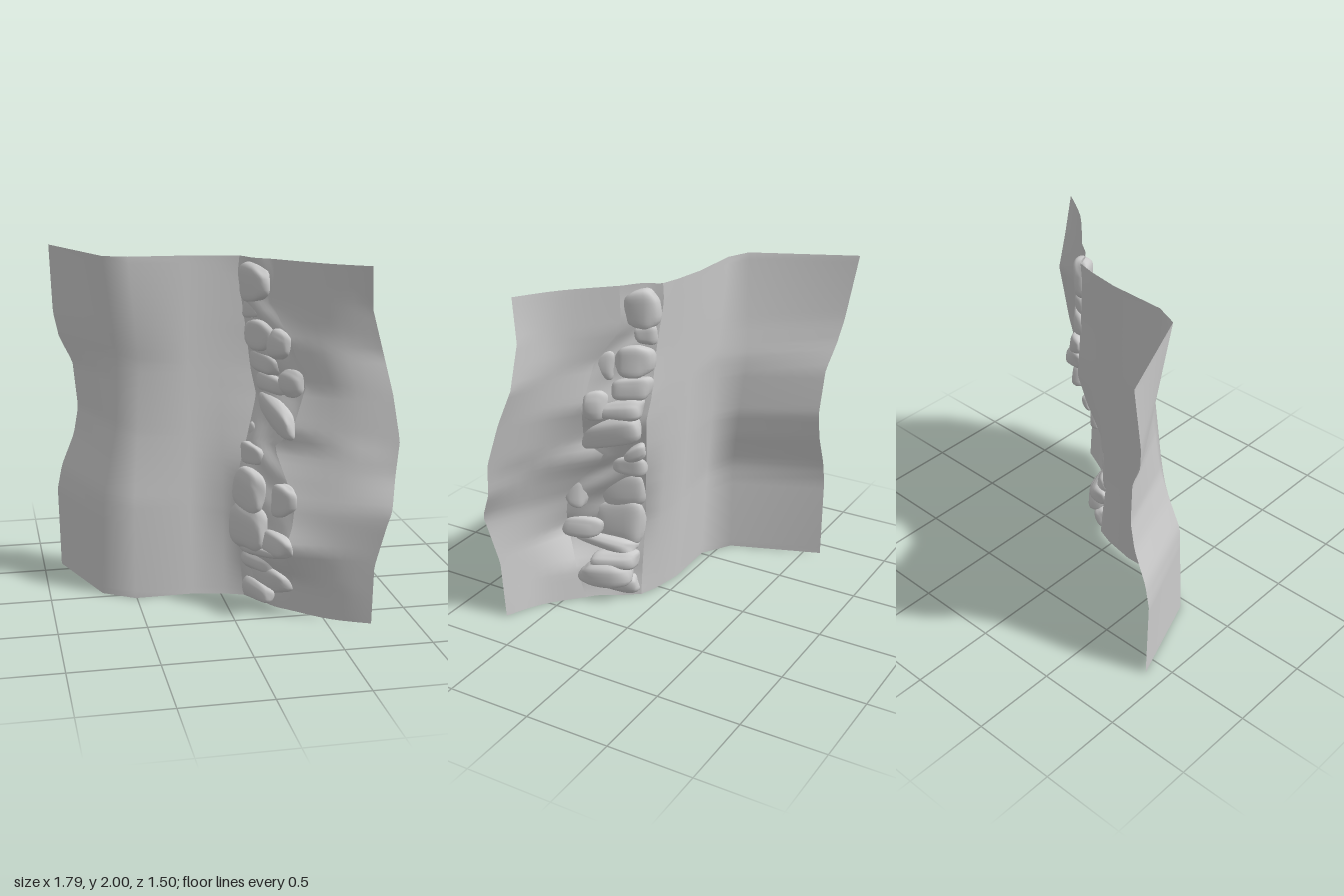
import * as THREE from 'three';

const material = new THREE.MeshStandardMaterial({ color: 0xcccccc, side: THREE.DoubleSide });
const ROWS = 48;

// Piecewise linear rail: keys are [y, x, z], returns the point at height y.
function rail(keys) {
  return (y) => {
    let i = 0;
    while (i < keys.length - 2 && y > keys[i + 1][0]) i++;
    const [a, b] = [keys[i], keys[i + 1]];
    const t = (y - a[0]) / (b[0] - a[0]);
    return new THREE.Vector2(THREE.MathUtils.lerp(a[1], b[1], t), THREE.MathUtils.lerp(a[2], b[2], t));
  };
}

// Rails running the full height of the strip
const bankEdge = rail([[0, -.89, -.6], [.5, -.9, -.6], [.65, -.87, -.6], [.85, -.79, -.6], [1.02, -.76, -.6],
  [1.3, -.785, -.62], [1.45, -.86, -.65], [1.6, -.89, -.68], [2, -.9, -.75]]);
const bankFoot = rail([[0, -.69, -.055], [.6, -.67, -.07], [1, -.58, -.15], [1.4, -.56, -.21], [2, -.64, -.16]]);
const plateauStart = rail([[0, -.51, .06], [.6, -.5, .025], [1, -.47, -.02], [1.4, -.45, -.06], [2, -.5, -.1]]);
const plateauMid = rail([[0, -.17, .055], [2, -.17, -.09]]);
const plateauEnd = rail([[0, .02, .09], [2, .02, -.06]]);
const cliffTop = rail([[0, .13, .13], [.2, .11, .13], [.5, .07, .13], [.65, .08, .12], [.8, .11, .1], [1, .17, .06],
  [1.2, .22, .03], [1.35, .19, .01], [1.6, .16, 0], [1.9, .12, -.03], [2, .13, -.03]]);
const cliffFoot = rail([[0, .33, .4], [.2, .35, .45], [.32, .3, .51], [.42, .27, .56], [.55, .32, .53], [.68, .34, .5],
  [.82, .3, .4], [.95, .27, .28], [1.05, .35, .37], [1.3, .44, .32], [1.55, .36, .28], [1.75, .28, .15], [2, .29, .15]]);
const lowerMid = rail([[0, .53, .58], [.42, .53, .64], [.65, .55, .63], [1.05, .62, .53], [1.3, .62, .47],
  [1.6, .55, .4], [2, .52, .38]]);
const lowerEdge = rail([[0, .745, .69], [.35, .745, .715], [.6, .8, .75], [.68, .825, .755], [.85, .86, .68],
  [1.05, .89, .65], [1.3, .865, .58], [1.5, .83, .51], [1.75, .765, .5], [2, .745, .535]]);

// Surface lofted through a list of cross-section points given for each height
function loft(name, sectionAt, columns, bump = () => 0) {
  const positions = [], index = [];
  for (let r = 0; r <= ROWS; r++) {
    const y = 2 * r / ROWS;
    const curve = new THREE.SplineCurve(sectionAt(y));
    for (let c = 0; c <= columns; c++) {
      const p = curve.getPoint(c / columns);
      positions.push(p.x + bump(c / columns, y), y, p.y);
      if (r < ROWS && c < columns) {
        const a = r * (columns + 1) + c, b = a + columns + 1;
        index.push(a, b, a + 1, a + 1, b, b + 1);
      }
    }
  }
  const geometry = new THREE.BufferGeometry();
  geometry.setAttribute('position', new THREE.Float32BufferAttribute(positions, 3));
  geometry.setIndex(index);
  geometry.computeVertexNormals();
  const mesh = new THREE.Mesh(geometry, material);
  mesh.name = name;
  return mesh;
}

// Lumpy boulder filling the given extents, leaning with the cliff; droop lowers its outer end
function boulder([y, halfHeight, z0, z1, x0, x1, droop = 0], seed) {
  const geometry = new THREE.SphereGeometry(1, 24, 16);
  const pos = geometry.attributes.position;
  const v = new THREE.Vector3();
  const square = (n) => Math.sign(n) * Math.pow(Math.abs(n), .7);
  const halfX = (x1 - x0) / 2, halfZ = (z1 - z0) / 2;
  for (let i = 0; i < pos.count; i++) {
    v.fromBufferAttribute(pos, i);
    const lump = .97 + .1 * Math.sin(3 * v.x + seed * 1.7) * Math.cos(3.2 * v.y + seed) + .06 * Math.sin(4 * v.z + seed * 2.3);
    v.set(square(v.x), square(v.y), square(v.z)).multiplyScalar(lump);
    // Taper toward the outer end
    const taper = 1 - .15 * v.z;
    pos.setXYZ(i, halfX * (.62 * v.x * taper + .5 * v.z), halfHeight * v.y * taper - droop * v.z, halfZ * v.z);
  }
  geometry.computeVertexNormals();
  // Share normals across the seam of the sphere
  const normal = geometry.attributes.normal;
  for (let r = 0; r <= 16; r++) {
    const a = r * 25, b = a + 24;
    v.fromBufferAttribute(normal, a).add(new THREE.Vector3().fromBufferAttribute(normal, b)).normalize();
    normal.setXYZ(a, v.x, v.y, v.z);
    normal.setXYZ(b, v.x, v.y, v.z);
  }
  const mesh = new THREE.Mesh(geometry, material);
  mesh.name = 'boulder';
  mesh.position.set((x0 + x1) / 2, y, (z0 + z1) / 2);
  return mesh;
}

// Boulders: height, half height, z from, z to, x from, x to, droop
const BOULDERS = [
  [1.86, .115, -.03, .17, .11, .29], [1.71, .06, -.01, .09, .14, .25],
  [1.56, .1, 0, .19, .14, .33], [1.53, .08, .18, .32, .24, .37],
  [1.4, .07, 0, .2, .18, .34, .01], [1.31, .08, .2, .33, .3, .46],
  [1.28, .06, .02, .25, .21, .4, .01], [1.12, .09, .05, .41, .22, .38, .05],
  [.98, .05, .05, .17, .16, .26, .03], [.88, .07, .08, .25, .11, .24],
  [.69, .13, .12, .39, .05, .22, .01], [.68, .1, .41, .52, .21, .37],
  [.47, .15, .13, .42, .04, .23], [.43, .07, .34, .61, .16, .33],
  [.35, .04, .14, .52, .09, .3, -.03],
  [.25, .06, .13, .38, .1, .34], [.17, .085, .14, .45, .14, .39],
  [.08, .06, .13, .39, .11, .27],
];

export function createModel() {
  const model = new THREE.Group();
  model.name = 'cliffStrip';

  // Steep bank and the flat ground above the cliff
  model.add(loft('upperGround', (y) => [bankEdge, bankFoot, plateauStart, plateauMid, plateauEnd, cliffTop].map((f) => f(y)), 5));

  // Uneven cliff between the two levels
  const cliffSection = (y) => {
    const top = cliffTop(y), foot = cliffFoot(y);
    const mid = (t, dx) => top.clone().lerp(foot, t).add(new THREE.Vector2(dx, 0));
    return [top, mid(.35, -.015), mid(.7, -.015), foot];
  };
  model.add(loft('cliffFace', cliffSection, 12,
    (t, y) => .015 * Math.sin(Math.PI * t) * Math.sin(23 * y + 5 * t)));

  // Lower slope below the cliff
  model.add(loft('lowerGround', (y) => [cliffFoot, lowerMid, lowerEdge].map((f) => f(y)), 8));

  const boulders = new THREE.Group();
  boulders.name = 'boulders';
  BOULDERS.forEach((b, i) => boulders.add(boulder(b, i + 1)));
  model.add(boulders);
  return model;
}
